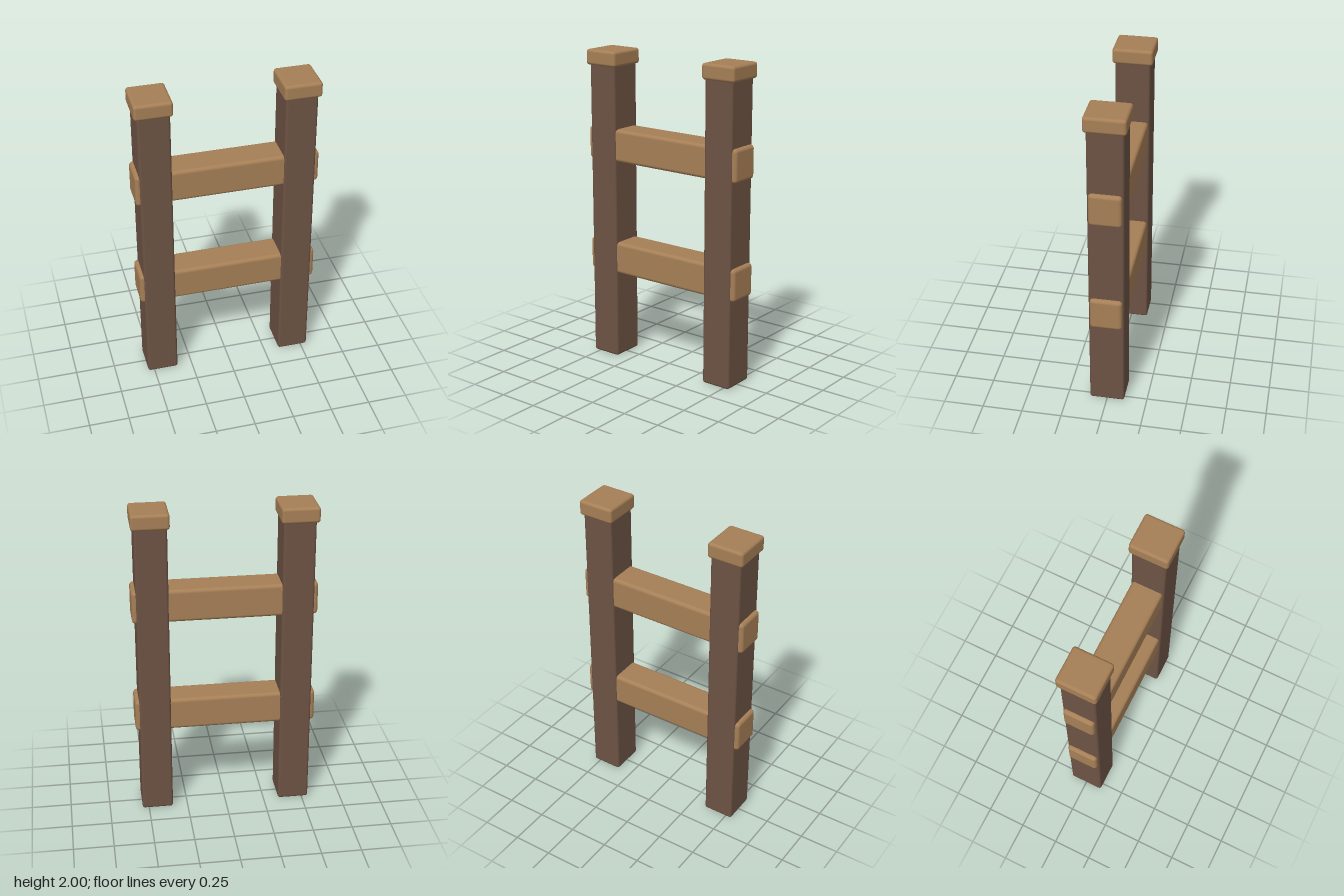
import * as THREE from 'three';
import { RoundedBoxGeometry } from 'three/addons/geometries/RoundedBoxGeometry.js';

export function createModel() {
  const group = new THREE.Group();
  group.name = 'fenceSection';

  const darkWood = new THREE.MeshStandardMaterial({ color: 0x6d5344 });
  darkWood.name = 'darkWood';
  const lightWood = new THREE.MeshStandardMaterial({ color: 0xa67f56 });
  lightWood.name = 'lightWood';

  // Softly rounded beam, placed by its centre
  function beam(name, material, size, position, radius) {
    const mesh = new THREE.Mesh(new RoundedBoxGeometry(...size, 3, radius), material);
    mesh.name = name;
    mesh.position.set(...position);
    group.add(mesh);
  }

  // Posts with their caps
  for (const [side, s] of [['left', 1], ['right', -1]]) {
    beam(`${side}Post`, darkWood, [0.197, 1.93, 0.218], [s * 0.443, 0.965, 0], 0.016);
    beam(`${side}PostCap`, lightWood, [0.231, 0.097, 0.25], [s * 0.445, 1.9515, 0], 0.018);
  }

  // Rails passing through both posts
  beam('lowerRail', lightWood, [1.134, 0.207, 0.198], [0, 0.672, 0], 0.022);
  beam('upperRail', lightWood, [1.134, 0.207, 0.198], [0, 1.408, 0], 0.022);

  return group;
}
